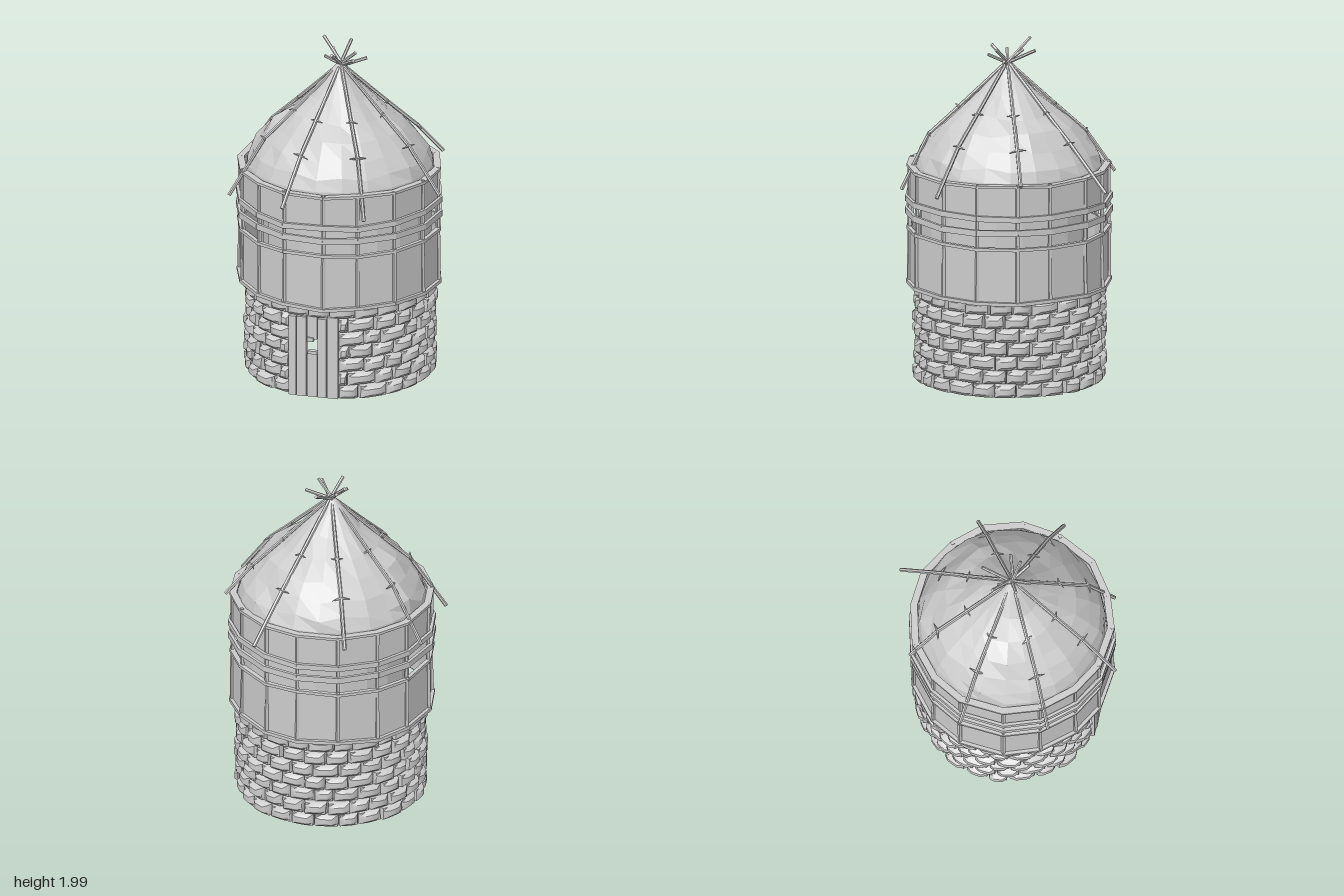
import * as THREE from 'three';
import { mergeGeometries, toCreasedNormals } from 'three/addons/utils/BufferGeometryUtils.js';

const V = (x, y, z) => new THREE.Vector3(x, y, z);
const mat = new THREE.MeshStandardMaterial({ color: 0xcccccc, flatShading: true, side: THREE.DoubleSide });
const stoneMat = new THREE.MeshStandardMaterial({ color: 0xcccccc });

let seed = 7;
const rand = () => (seed = (seed * 16807) % 2147483647) / 2147483647;
const jitter = (a) => (rand() * 2 - 1) * a;

// Round stick between two points
function rod(p, q, r0, r1 = r0, sides = 6) {
  const d = q.clone().sub(p);
  const g = new THREE.CylinderGeometry(r1, r0, d.length(), sides);
  g.applyQuaternion(new THREE.Quaternion().setFromUnitVectors(V(0, 1, 0), d.normalize()));
  return g.translate((p.x + q.x) / 2, (p.y + q.y) / 2, (p.z + q.z) / 2);
}

// Rectangular beam between two points, kept upright
function beam(p, q, depth, height) {
  const o = new THREE.Object3D();
  o.position.copy(p).add(q).multiplyScalar(0.5);
  o.lookAt(q);
  o.updateMatrix();
  return new THREE.BoxGeometry(depth, height, p.distanceTo(q) + 0.008).applyMatrix4(o.matrix);
}

function part(name, geos, material = mat) {
  const m = new THREE.Mesh(geos.length > 1 ? mergeGeometries(geos) : geos[0], material);
  m.name = name;
  return m;
}

// Wedge-shaped stone bent around the wall, with a bulging, chamfered face
function stone(a0, a1, y0, y1) {
  const g = new THREE.BoxGeometry(2, 2, 1, 4, 4, 2);
  const p = g.attributes.position;
  const outer = 0.548 + jitter(0.008);
  const tilt = jitter(0.006), skew = jitter(0.008);
  for (let i = 0; i < p.count; i++) {
    const u = p.getX(i), v = p.getY(i), w = p.getZ(i) + 0.5;
    const inset = w > 0.9 ? 0.87 : w > 0.4 ? 0.97 : 0.985;
    const edge = Math.max(Math.abs(u), Math.abs(v));
    const r = w > 0.9 ? outer - 0.02 * edge ** 4 + tilt * u + 0.006 : w > 0.4 ? 0.518 : 0.48;
    const a = (a0 + a1) / 2 + (u * inset * (a1 - a0)) / 2 + (w > 0.9 ? skew * v : 0);
    const y = Math.max(0.004, (y0 + y1) / 2 + (v * inset * (y1 - y0)) / 2 + (w > 0.4 ? tilt * u : 0));
    p.setXYZ(i, r * Math.sin(a), y, r * Math.cos(a) + 0.008);
  }
  return toCreasedNormals(g, 0.7);
}

function stoneWall() {
  const stones = [], rows = 7, h = 0.57 / rows;
  for (let row = 0; row < rows; row++) {
    const top = row === rows - 1;
    const start = top ? -0.1 : 0.24, span = top ? Math.PI * 2 : Math.PI * 2 - 0.55;
    const n = top ? 24 : 22;
    // Alternate rows begin and end with a half stone
    const cuts = [0];
    for (let i = 1; i < n; i++) cuts.push(i - (row % 2 ? 0.5 : 0) + jitter(0.14));
    if (row % 2) cuts.push(n - 0.5);
    cuts.push(n);
    for (let i = 0; i < cuts.length - 1; i++)
      stones.push(stone(start + (cuts[i] * span) / n, start + (cuts[i + 1] * span) / n, row * h, (row + 1) * h));
  }
  return part('stoneWall', stones, stoneMat);
}

// Plank door with a small open window in the middle plank
function door() {
  const edges = [-0.168, -0.118, -0.056, 0.008, 0.064, 0.133];
  const planks = [];
  const plank = (x0, x1, y0, y1, z) => planks.push(
    new THREE.BoxGeometry(x1 - x0 - 0.005, y1 - y0, 0.03).translate((x0 + x1) / 2, (y0 + y1) / 2, z));
  for (let i = 0; i < 5; i++) {
    const z = 0.525 + jitter(0.004), x0 = edges[i], x1 = edges[i + 1];
    if (i === 2) {
      plank(x0, x1, 0.006, 0.27, z);
      plank(x0, x1, 0.36, 0.5, z);
    } else plank(x0, x1, 0.006, 0.495 + jitter(0.008), z);
  }
  plank(-0.052, -0.012, 0.345, 0.37, 0.535);
  plank(-0.05, 0.012, 0.27, 0.288, 0.535);
  return part('door', planks);
}

// Timber drum: posts, hide panels and wobbling rails around sixteen corners
function upperWall() {
  const group = new THREE.Group();
  group.name = 'upperWall';
  const N = 16;
  const corners = [];
  for (let i = 0; i < N; i++)
    corners.push({ a: (i / N) * Math.PI * 2 + 0.09 + jitter(0.035), r: 0.572 + jitter(0.006) });
  const at = (i, y, dr = 0) => {
    const c = corners[i % N];
    return V((c.r + dr) * Math.sin(c.a) - 0.005, y, (c.r + dr) * Math.cos(c.a) + 0.018);
  };
  const posts = [], panels = [];
  for (let i = 0; i < N; i++) {
    posts.push(rod(at(i, 0.57, 0.004), at(i, 0.91, jitter(0.008)), 0.013, 0.012, 4));
    posts.push(rod(at(i, 0.9), at(i, 1.265, 0.002), 0.012, 0.012, 4));
    for (const [y0, y1] of [[0.575, 0.895], [1.06, 1.25]])
      panels.push(beam(at(i, (y0 + y1) / 2, -0.006), at(i + 1, (y0 + y1) / 2, -0.006), 0.012, y1 - y0));
  }
  group.add(part('posts', posts), part('hidePanels', panels));
  // height, radial offset, depth, thickness, wobble
  const rails = [
    [0.572, 0.008, 0.024, 0.02, 0.008], [0.893, 0.006, 0.024, 0.018, 0.007],
    [0.988, 0.016, 0.018, 0.036, 0.008], [1.066, 0.016, 0.018, 0.032, 0.008],
    [1.255, -0.003, 0.04, 0.016, 0.005]];
  for (const [y, dr, d, h, wob] of rails) {
    const ys = corners.map(() => y + jitter(wob));
    group.add(part('rail', corners.map((c, i) => beam(at(i, ys[i], dr), at(i + 1, ys[(i + 1) % N], dr), d, h))));
  }
  const lining = part('innerLining', [
    new THREE.CylinderGeometry(0.485, 0.485, 0.7, 20, 1, true).translate(0.045, 0.91, 0.025)]);
  group.add(lining);
  return group;
}

// Faceted, slightly lumpy hide roof
function roof() {
  const profile = [[0.545, 1.2], [0.537, 1.27], [0.51, 1.34], [0.45, 1.425], [0.375, 1.51],
    [0.275, 1.59], [0.165, 1.69], [0.075, 1.79], [0.02, 1.86]];
  const g = new THREE.LatheGeometry(profile.map(([r, y]) => new THREE.Vector2(r, y)), 22);
  const p = g.attributes.position;
  for (let i = 0; i < p.count; i++) {
    const x = p.getX(i), y = p.getY(i), z = p.getZ(i);
    const lump = Math.sin(17 * x + 5 * y) * Math.sin(15 * z + 9 * y);
    const s = y < 1.3 ? 1 : 1 + 0.035 * lump;
    p.setXYZ(i, x * s, y + (y < 1.3 ? 0 : 0.012 * Math.sin(23 * z - 19 * x)), z * s + 0.015);
  }
  return part('roof', [g]);
}

// Bent roof poles crossing at the peak, each with two pairs of pinning thorns
function roofPoles() {
  const group = new THREE.Group();
  group.name = 'roofPoles';
  // foot x, y, z and tip x, y, z
  const poles = [
    [0.18, 1.19, -0.67, -0.02, 1.95, 0.13], [0.53, 1.27, -0.29, -0.08, 1.92, 0.06],
    [0.64, 1.18, 0.19, -0.12, 1.99, -0.07], [0.29, 1.12, 0.56, -0.06, 1.93, -0.05],
    [-0.17, 1.19, 0.66, 0.02, 1.95, -0.16], [-0.57, 1.12, 0.35, 0.15, 1.9, -0.02],
    [-0.64, 1.13, -0.15, 0.1, 1.95, 0.05], [-0.32, 1.2, -0.51, 0.1, 1.92, 0.1]];
  for (const [fx, fy, fz, tx, ty, tz] of poles) {
    const dir = V(fx - 0.005, 0, fz - 0.02).normalize();
    const side = V(dir.z, 0, -dir.x);
    const on = (r, y) => V(0.005 + dir.x * r, y, 0.02 + dir.z * r);
    const path = [V(tx, ty, tz), on(0.025, 1.845), on(0.28, 1.605), on(0.455, 1.445), V(fx, fy, fz)];
    const rods = [];
    for (let i = 0; i < 4; i++) rods.push(rod(path[i], path[i + 1], 0.0095 + i * 0.0005, 0.01 + i * 0.0005));
    group.add(part('pole', rods));
    const thorns = [];
    for (const [k, len] of [[2, 0.035], [3, 0.05]])
      for (const s of [-1, 1]) {
        const tip = path[k].clone().addScaledVector(side, s * len)
          .addScaledVector(dir, jitter(0.02)).add(V(0, jitter(0.01), 0));
        thorns.push(rod(path[k].clone().add(V(0, 0.004, 0)), tip, 0.009, 0.002, 5));
      }
    group.add(part('thorns', thorns));
  }
  return group;
}

export function createModel() {
  seed = 7;
  const model = new THREE.Group();
  model.name = 'roundHut';
  model.add(stoneWall(), door(), upperWall(), roof(), roofPoles());
  return model;
}
